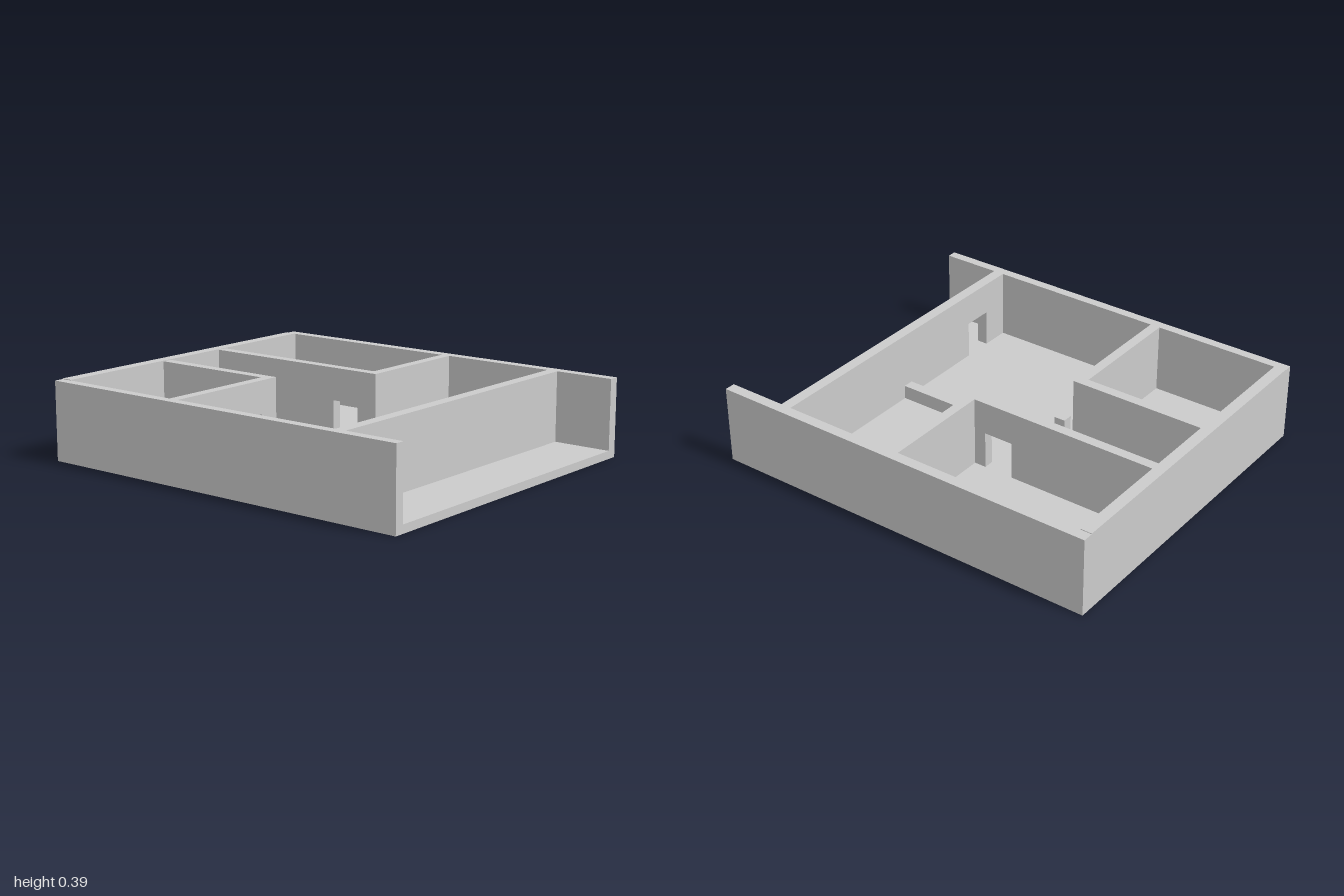
import * as THREE from 'three';

const FLOOR = 0.04, TOP = 0.387, DOOR_TOP = 0.225;

export function createModel() {
  const house = new THREE.Group();
  house.name = 'house';
  const material = new THREE.MeshStandardMaterial({ color: 0xcccccc, flatShading: true });

  const add = (name, geometry) => {
    const mesh = new THREE.Mesh(geometry, material);
    mesh.name = name;
    house.add(mesh);
    return mesh;
  };

  // Box given by its limits on each axis
  const block = (name, x0, x1, y0, y1, z0, z1) =>
    add(name, new THREE.BoxGeometry(x1 - x0, y1 - y0, z1 - z0))
      .position.set((x0 + x1) / 2, (y0 + y1) / 2, (z0 + z1) / 2);

  const wall = (name, x0, x1, z0, z1, top = TOP) => block(name, x0, x1, FLOOR, top, z0, z1);

  // Wall outline with a doorway notch, running from a0 to a1, door from d0 to d1
  const doorWall = (name, a0, a1, d0, d1, thickness) => {
    const outline = [
      [a0, FLOOR], [d0, FLOOR], [d0, DOOR_TOP], [d1, DOOR_TOP],
      [d1, FLOOR], [a1, FLOOR], [a1, TOP], [a0, TOP],
    ].map(([a, y]) => new THREE.Vector2(a, y));
    return add(name, new THREE.ExtrudeGeometry(new THREE.Shape(outline), {
      depth: thickness, bevelEnabled: false,
    }));
  };

  // Floor slab and outer walls
  block('floor', -0.86, 0.86, 0, FLOOR, -1, 1);
  wall('rightOuterWall', -0.86, -0.813, -1, 1);
  wall('leftOuterWall', 0.807, 0.86, -1, 1);
  wall('backOuterWall', -0.813, 0.807, -1, -0.943, 0.39);

  // Front wall behind the open porch
  doorWall('frontWall', -0.813, 0.807, -0.67, -0.52, 0.055).position.z = 0.648;

  // Right back room
  doorWall('rightRoomFrontWall', -0.813, -0.147, -0.4, -0.25, 0.05).position.z = -0.303;
  wall('rightRoomSideWall', -0.197, -0.147, -0.943, -0.303);

  // Left back room, its side wall turned to run along z
  wall('leftRoomFrontWall', 0.205, 0.807, 0.02, 0.068);
  const leftSide = doorWall('leftRoomSideWall', -0.943, 0.02, -0.19, -0.04, 0.05);
  leftSide.rotation.y = -Math.PI / 2;
  leftSide.position.x = 0.255;

  // Low divider and short post in the main room
  wall('lowDivider', -0.053, 0, 0.195, 0.648, 0.11);
  wall('post', -0.182, -0.129, -0.218, -0.161, 0.165);

  return house;
}
